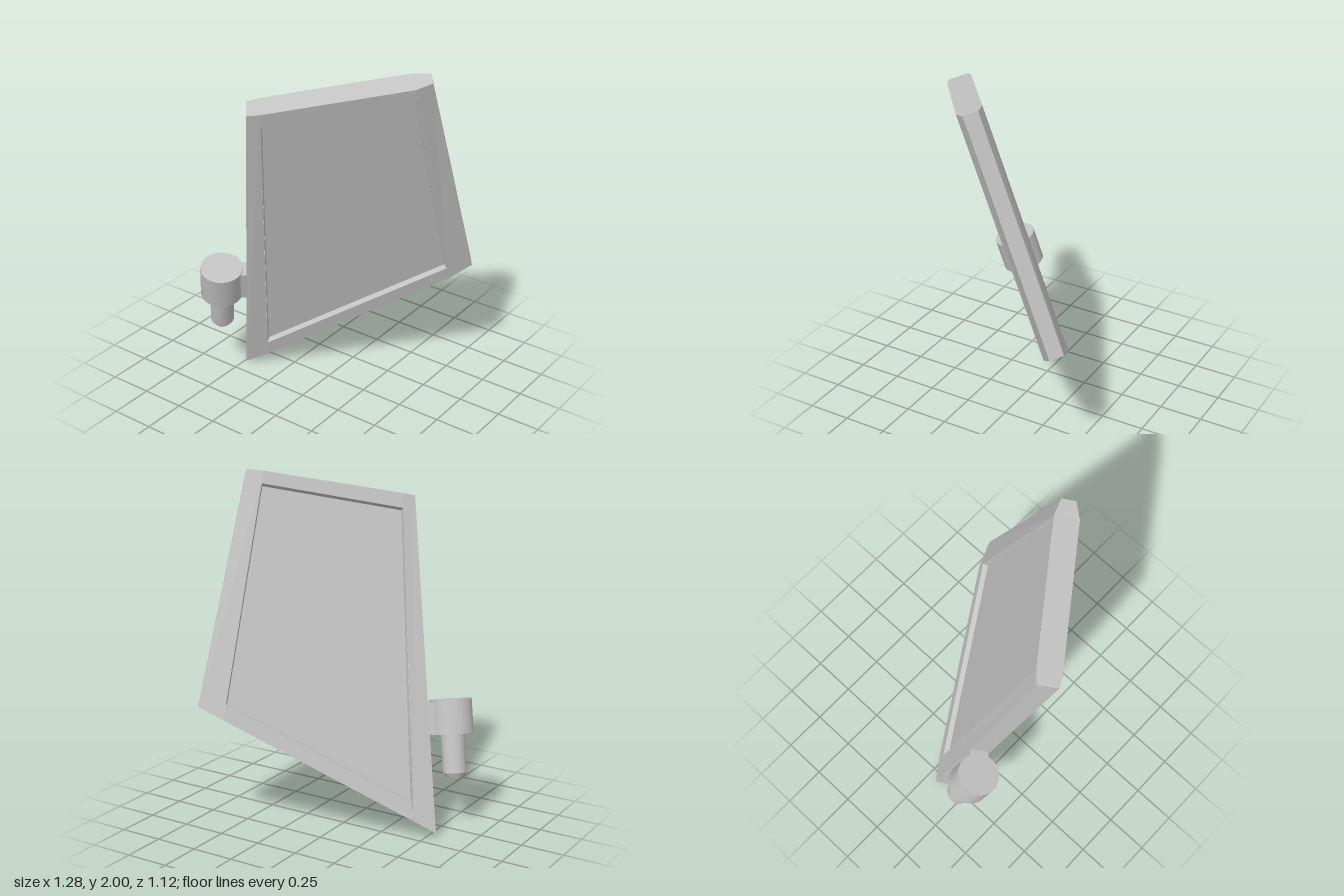
import * as THREE from 'three';

const grey = new THREE.MeshStandardMaterial({ color: 0xc2c2c2 });
grey.name = 'plain grey';

// Plate coordinates: u across, v up along the hinge edge, n out of the face
const corners = [[0, 0], [1.271, 0.784], [0.929, 2.08], [0, 1.889]];
const folds = [[0.125, 0.077], [1.141, 0.704], [0.838, 2.061], [0.071, 1.904]];
const recess = [[0.124, 0.175], [1.122, 0.787], [0.853, 1.992], [0.073, 1.82]];
const LEFT = 0.059, RIGHT = 0.04, RIM = 0.069, FLOOR = 0.041;

function plateGeometry() {
  const pos = [];
  const quad = (a, b, c, d) => [a, b, c, a, c, d].forEach((p) => pos.push(...p));
  const cu = 0.54, cv = 1.19;

  // Rings of points for one face (s = 1 front, -1 back)
  const rings = (s) => ({
    c: corners.map(([u, v]) => [u, v, s * (u > 0.5 ? RIGHT : LEFT)]),
    k: folds.map(([u, v]) => [u, v, s * RIM]),
    r: recess.map(([u, v]) => [u, v, s * RIM]),
    f: recess.map(([u, v]) => [cu + (u - cu) * 0.985, cv + (v - cv) * 0.985, s * FLOOR]),
  });

  for (const s of [1, -1]) {
    const { c, k, r, f } = rings(s);
    const face = (a, b, d, e) => (s > 0 ? quad(a, b, d, e) : quad(e, d, b, a));
    face(c[0], k[0], k[3], c[3]); // tapered hinge side
    face(k[1], c[1], c[2], k[2]); // tapered outer side
    face(k[0], k[1], r[1], r[0]); // lower rim
    face(r[3], r[2], k[2], k[3]); // upper rim
    for (let i = 0; i < 4; i++) {
      const j = (i + 1) % 4;
      face(r[i], r[j], f[j], f[i]); // recess walls
    }
    face(...f); // recess floor
  }

  // Edge band joining the two faces
  const loop = ({ c, k }) => [c[0], k[0], k[1], c[1], c[2], k[2], k[3], c[3]];
  const front = loop(rings(1)), back = loop(rings(-1));
  for (let i = 0; i < 8; i++) {
    const j = (i + 1) % 8;
    quad(back[i], back[j], front[j], front[i]);
  }

  const geo = new THREE.BufferGeometry();
  geo.setAttribute('position', new THREE.Float32BufferAttribute(pos, 3));
  geo.computeVertexNormals();
  return geo;
}

export function createModel() {
  const model = new THREE.Group();
  model.name = 'hingedPanel';
  const add = (name, geo, u = 0, v = 0) => {
    const mesh = new THREE.Mesh(geo, grey);
    mesh.name = name;
    mesh.position.set(u, v, 0);
    model.add(mesh);
  };

  add('panel', plateGeometry());

  // Hinge beside the left edge
  add('hingeKnuckle', new THREE.CylinderGeometry(0.12, 0.12, 0.196, 40), -0.14, 0.643);
  add('hingeBracket', new THREE.BoxGeometry(0.13, 0.18, 0.108), -0.045, 0.64);
  add('hingePin', new THREE.CylinderGeometry(0.067, 0.067, 0.25, 32), -0.14, 0.45);
  add('hingePinTip', new THREE.CylinderGeometry(0.067, 0.05, 0.025, 32), -0.14, 0.3125);

  // Lean the whole assembly
  const v = new THREE.Vector3(0.204, 0.956, 0.211).normalize();
  const u = new THREE.Vector3().crossVectors(v, new THREE.Vector3(0.603, -0.29, 0.734)).normalize();
  const n = new THREE.Vector3().crossVectors(u, v);
  model.quaternion.setFromRotationMatrix(new THREE.Matrix4().makeBasis(u, v, n));
  model.position.set(-0.524, 0.018, 0.116);

  const root = new THREE.Group();
  root.name = 'model';
  root.add(model);
  return root;
}
